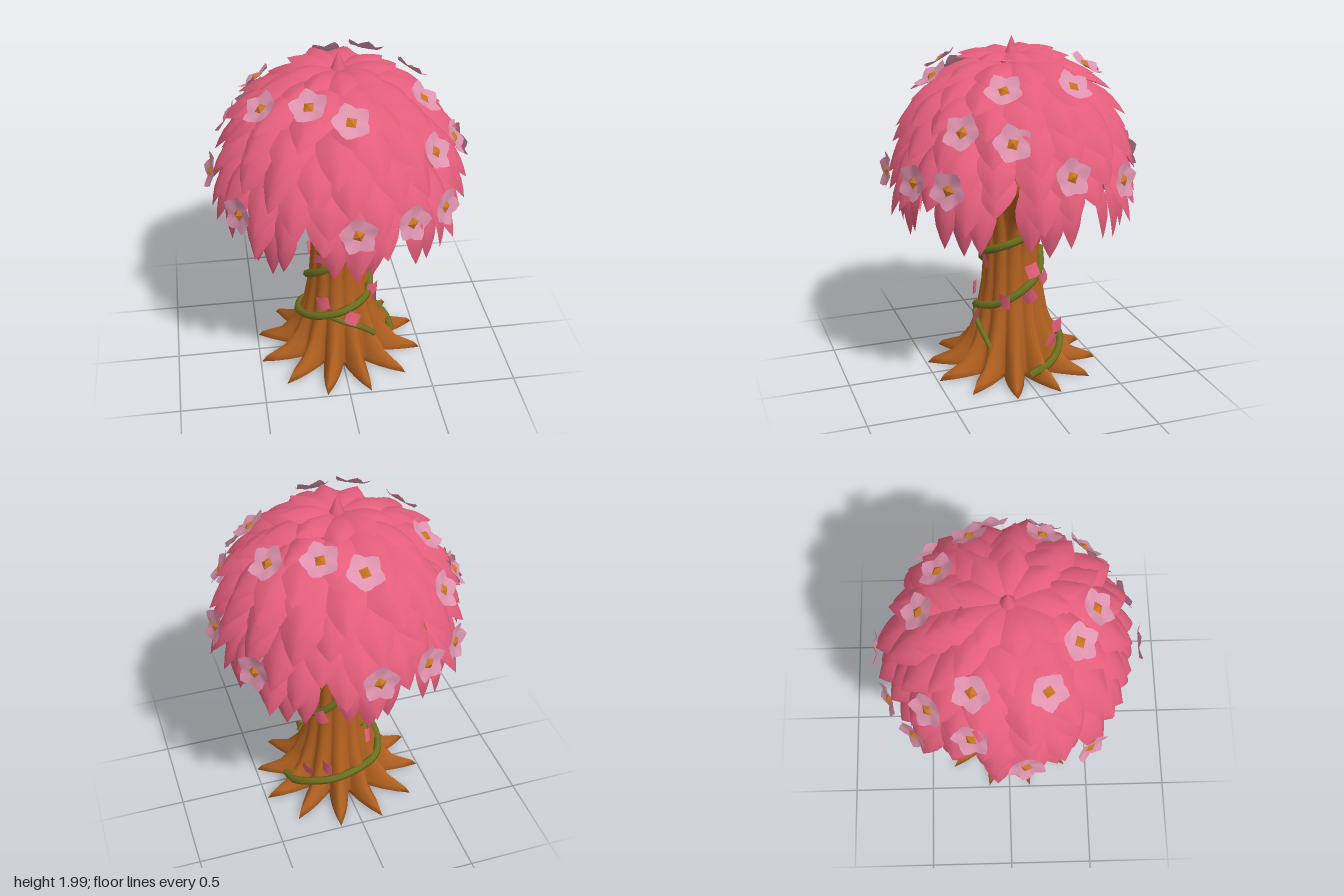
import * as THREE from 'three';
import { mergeGeometries, mergeVertices } from 'three/addons/utils/BufferGeometryUtils.js';

const D = Math.PI / 180;
const mat = (name, color, side = THREE.FrontSide) => {
  const m = new THREE.MeshStandardMaterial({ color, side });
  m.name = name;
  return m;
};

// Seeded jitter in -1..1
let seed = 7;
const jitter = () => {
  seed = (seed * 16807) % 2147483647;
  return (seed / 2147483647) * 2 - 1;
};

// Surface from a rule: fn(i, j) gives the point at row i, column j
function grid(rows, cols, fn) {
  const pos = [], idx = [];
  for (let i = 0; i <= rows; i++) for (let j = 0; j <= cols; j++) pos.push(...fn(i, j));
  for (let i = 0; i < rows; i++) for (let j = 0; j < cols; j++) {
    const a = i * (cols + 1) + j, b = a + cols + 1;
    idx.push(a, b, a + 1, a + 1, b, b + 1);
  }
  let g = new THREE.BufferGeometry();
  g.setAttribute('position', new THREE.Float32BufferAttribute(pos, 3));
  g.setIndex(idx);
  g = mergeVertices(g, 1e-5);
  g.computeVertexNormals();
  return g;
}

// Trunk rings from top to bottom: [y, radius in grooves, radius on ridges]
const RINGS = [
  [1.4, 0, 0], [1.4, 0.28, 0.44], [1.31, 0.3, 0.56], [1.22, 0.25, 0.54], [1.11, 0.21, 0.41],
  [1.0, 0.175, 0.25], [0.9, 0.158, 0.185], [0.75, 0.152, 0.165], [0.55, 0.165, 0.18],
  [0.35, 0.19, 0.215], [0.2, 0.215, 0.275], [0.1, 0.225, 0.36], [0.05, 0.23, 0.48],
  [0.015, 0.23, 0.51], [0.01, 0.2, 0.46], [0.05, 0, 0],
];
const ridgeRadius = (y) => {
  for (let i = 2; i < RINGS.length - 3; i++) {
    const [y1, , r1] = RINGS[i], [y0, , r0] = RINGS[i + 1];
    if (y <= y1 && y >= y0) return THREE.MathUtils.lerp(r0, r1, (y - y0) / (y1 - y0));
  }
  return 0.4;
};
function trunkGeometry() {
  const n = 96;
  return grid(RINGS.length - 1, n, (i, j) => {
    const [y, groove, ridge] = RINGS[i];
    const a = ((j % n) * 3.75 + 15) * D;
    const tri = Math.abs((j % 8) - 4) / 4; // 1 on a ridge, 0 in a groove
    const u = y > 0.15 ? Math.sin(tri * Math.PI / 2) : Math.pow(tri, 1.2); // round limbs, pointed roots
    const r = groove + (ridge - groove) * u;
    return [r * Math.sin(a), y, r * Math.cos(a)];
  });
}

// Pointed, ridged leaf running from (r0, y0) to (r1, y1) at a given angle, rolled a little
const WIDTH = [0.5, 0.8, 1, 0.97, 0.76, 0.42, 0];
function leaf(angle, r0, y0, r1, y1, w) {
  const len = Math.hypot(r1 - r0, y1 - y0);
  const nr = (y0 - y1) / len, ny = (r1 - r0) / len;
  const roll = jitter() * 0.22;
  return grid(6, 4, (i, j) => {
    const t = i / 6, s = j / 2 - 1;
    const x = s * w * WIDTH[i];
    const lift = 0.12 * len * Math.sin(Math.PI * t) - 0.42 * Math.abs(x) * Math.sqrt(Math.abs(s)) + roll * x;
    const r = r0 + (r1 - r0) * t + nr * lift;
    const y = y0 + (y1 - y0) * t + ny * lift;
    return [r * Math.sin(angle) + x * Math.cos(angle), y, r * Math.cos(angle) - x * Math.sin(angle)];
  });
}

// Leaf tiers: [count, base radius, base y, tip radius, tip y, half width, clump droop]
const TIERS = [
  [9, 0.0, 1.885, 0.31, 1.895, 0.115, 0],
  [10, 0.08, 1.86, 0.45, 1.78, 0.13, 0],
  [13, 0.22, 1.83, 0.575, 1.67, 0.13, 0],
  [16, 0.35, 1.76, 0.655, 1.53, 0.125, 0.02],
  [18, 0.45, 1.66, 0.7, 1.38, 0.12, 0.03],
  [20, 0.52, 1.52, 0.725, 1.22, 0.115, 0.03],
  [22, 0.56, 1.39, 0.71, 1.09, 0.1, 0.06],
];
function tierGeometry([n, r0, y0, r1, y1, w, clump], k) {
  const leaves = [];
  for (let i = 0; i < n; i++) {
    const a = ((i + (k % 2) / 2) / n) * 2 * Math.PI + jitter() * 0.06;
    const droop = clump * Math.cos(8 * a); // eight loose clumps
    leaves.push(leaf(a, r0, y0, r1 + jitter() * 0.02 + droop * 0.3, y1 - droop + jitter() * 0.015, w * (1 + jitter() * 0.1)));
  }
  return mergeGeometries(leaves);
}
// Hanging fringe: clumps of three leaves with gaps between them
function fringeGeometry() {
  const leaves = [];
  for (let c = 0; c < 8; c++) for (const s of [-1, 0, 1]) {
    const a = (c * 45 + s * 10.5) * D + jitter() * 0.03;
    leaves.push(leaf(a, 0.58, 1.28, 0.62 + jitter() * 0.02, 0.88 + Math.abs(s) * 0.05 + jitter() * 0.02, 0.08));
  }
  return mergeGeometries(leaves);
}

// Broad five-lobed flower facing +z
function flowerGeometry() {
  return grid(2, 20, (i, j) => {
    const a = (j % 20) * 18 * D, wave = Math.cos(5 * a);
    const r = (i / 2) * (0.096 + 0.012 * wave);
    return [r * Math.cos(a), r * Math.sin(a), i === 2 ? 0.012 + 0.01 * wave : 0];
  });
}

// Half of the flower positions; the others are turned by 180 degrees
const FLOWERS = [
  [0, 1.785, 0.45], [-0.2, 1.835, 0.35], [0.425, 1.765, 0.19], [-0.43, 1.765, 0.19],
  [0.595, 1.53, 0.2], [0.445, 1.57, 0.42], [0.49, 1.29, 0.51], [0.29, 1.29, 0.64],
  [0, 1.285, 0.71], [-0.58, 1.28, 0.42], [0.7, 1.36, -0.08],
];

// Vine paths round the trunk: [angle in degrees, y]
const VINES = [
  [[90, 0.07], [110, 0.11], [132, 0.16], [165, 0.2], [225, 0.24], [270, 0.29], [315, 0.35], [360, 0.41],
    [405, 0.46], [450, 0.54], [495, 0.63], [535, 0.74]],
  [[215, 0.46], [245, 0.5], [275, 0.57], [320, 0.66], [360, 0.74], [405, 0.8], [450, 0.86], [490, 0.92], [520, 0.97]],
  [[-30, 0.38], [0, 0.34], [25, 0.29], [45, 0.21]],
];

// Loose petals on the trunk: [angle in degrees, y]
const PETALS = [
  [-38, 0.77], [22, 0.71], [108, 0.66], [135, 0.6], [-32, 0.47], [12, 0.37], [100, 0.51],
  [60, 0.49], [150, 0.27], [125, 0.23], [145, 0.97], [215, 0.42], [230, 0.66],
];

export function createModel() {
  const bark = mat('bark', 0xb1601f);
  const pink = mat('leafPink', 0xe35d7b, THREE.DoubleSide);
  const pale = mat('flowerPink', 0xde93ae, THREE.DoubleSide);
  const amber = mat('flowerCentre', 0xc97522);
  amber.flatShading = true;
  const green = mat('vineGreen', 0x6e701f);

  const tree = new THREE.Group();
  tree.name = 'tree';
  const add = (name, geo, material, parent = tree) => {
    const m = new THREE.Mesh(geo, material);
    m.name = name;
    parent.add(m);
    return m;
  };

  add('trunk', trunkGeometry(), bark);

  // Canopy
  const canopy = new THREE.Group();
  canopy.name = 'canopy';
  tree.add(canopy);
  const shell = [[0.53, 1.28], [0.54, 1.4], [0.49, 1.55], [0.39, 1.69], [0.24, 1.8], [0, 1.85]];
  add('canopyCore', new THREE.LatheGeometry(shell.map((p) => new THREE.Vector2(...p)), 32), pink, canopy);
  TIERS.forEach((t, k) => add('leafTier' + (k + 1), tierGeometry(t, k), pink, canopy));
  add('leafFringe', fringeGeometry(), pink, canopy);
  add('topBud', new THREE.ConeGeometry(0.05, 0.12, 8), pink, canopy).position.y = 1.94;

  // Flowers
  const bloom = flowerGeometry();
  const heart = new THREE.ConeGeometry(0.036, 0.018, 4).rotateX(Math.PI / 2).translate(0, 0, 0.011);
  for (const side of [1, -1]) for (const [x, y, z] of FLOWERS) {
    const flower = new THREE.Group();
    flower.name = 'flower';
    const p = new THREE.Vector3(x * side, y, z * side);
    const out = p.clone().sub(new THREE.Vector3(0, 1.19, 0)).normalize();
    flower.position.copy(p).addScaledVector(out, 0.018);
    flower.lookAt(p.clone().addScaledVector(out, 2));
    flower.rotateZ(jitter() * 0.6);
    add('flowerPetals', bloom, pale, flower);
    add('flowerHeart', heart, amber, flower);
    tree.add(flower);
  }

  // Vines, running between the roots near the ground
  const onTrunk = (deg, y, gap) => {
    const r = Math.min(ridgeRadius(y), 0.33) + gap;
    return new THREE.Vector3(r * Math.sin(deg * D), y, r * Math.cos(deg * D));
  };
  VINES.forEach((path, k) => {
    const curve = new THREE.CatmullRomCurve3(path.map(([a, y]) => onTrunk(a, y, 0.006)));
    add('vine', new THREE.TubeGeometry(curve, path.length * 6, k === 2 ? 0.017 : 0.024, 6), green);
  });

  // Loose petals, slightly folded squares
  const petalGeo = grid(2, 2, (i, j) => [(j - 1) * 0.04, (1 - i) * 0.04, j === 1 ? 0.012 : 0]);
  for (const [a, y] of PETALS) {
    const petal = add('loosePetal', petalGeo, pink);
    petal.position.copy(onTrunk(a, y, 0.03));
    petal.rotation.set(jitter() * 0.4, a * D + jitter() * 0.6, jitter() * 0.6, 'YXZ');
  }
  return tree;
}
